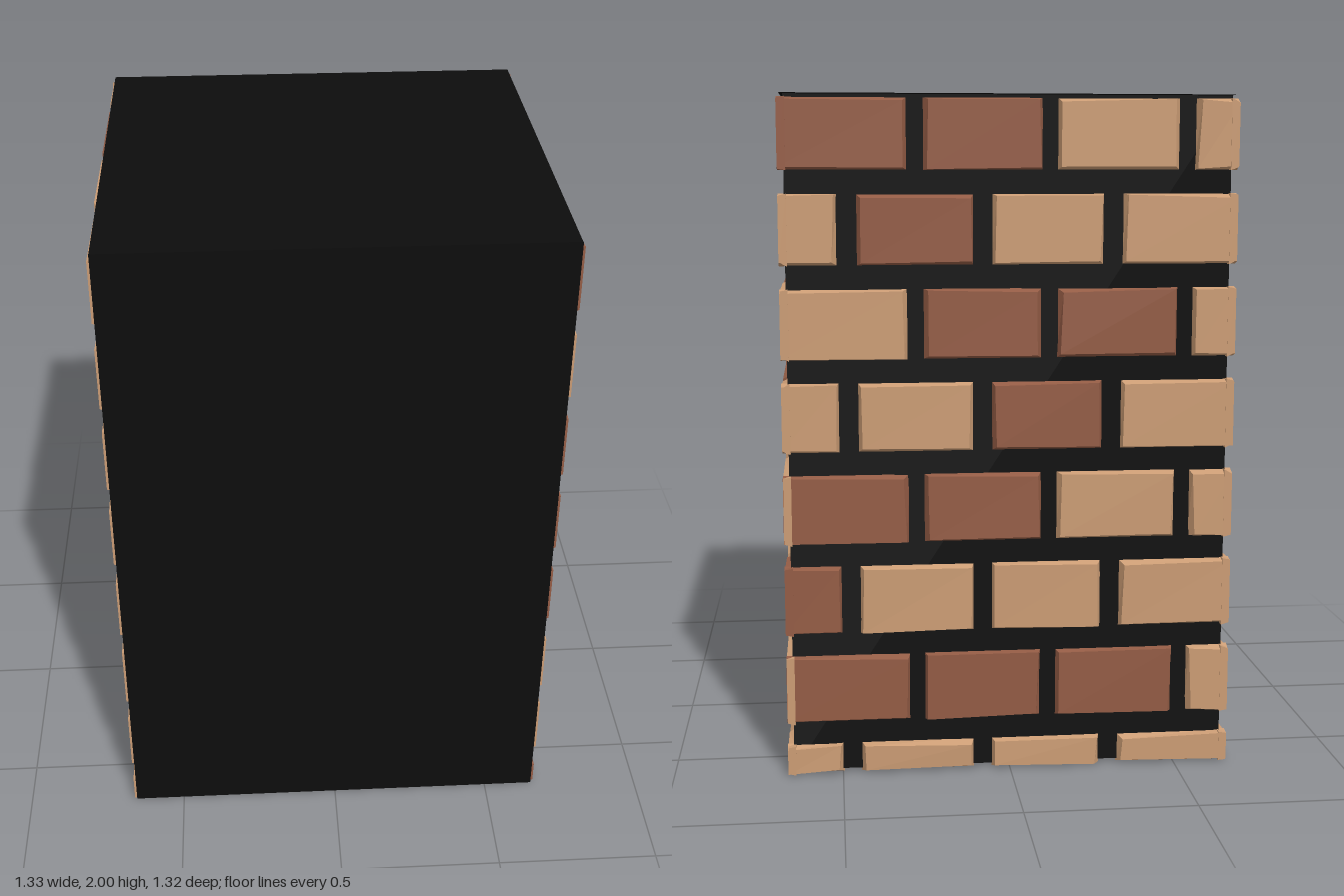
import * as THREE from 'three';

const FACE = 0.662;   // outer face of the bricks
const CORNER = 0.663; // where corner bricks meet
const FRONT = 0.66;   // plain front panel

export function createModel() {
  const model = new THREE.Group();
  model.name = 'brickBlock';
  const mat = (name, color) => {
    const m = new THREE.MeshStandardMaterial({ color, side: THREE.DoubleSide });
    m.name = name;
    return m;
  };
  const mortar = mat('black mortar', 0x0d0d0d);
  const paint = { L: mat('tan brick', 0xcb9c74), D: mat('red-brown brick', 0x945c45) };

  // small seeded generator for chipped, uneven bricks
  let seed = 7;
  const jitter = (amount) => {
    seed = (seed * 16807) % 2147483647;
    return (seed / 2147483647 - 0.5) * 2 * amount;
  };

  // one brick: a box whose outer face is narrowed and made uneven
  function brickGeometry(u0, u1, v0, v1, back) {
    const g = new THREE.BoxGeometry(1, 1, 1).toNonIndexed();
    const p = g.attributes.position;
    const moved = {};
    for (let i = 0; i < p.count; i++) {
      const [x, y, z] = [p.getX(i), p.getY(i), p.getZ(i)];
      const key = `${x},${y},${z}`;
      if (!moved[key]) {
        let u = x < 0 ? u0 : u1;
        let v = y < 0 ? v0 : v1;
        const end = Math.abs(u) > 0.64;
        if (z > 0) {
          if (!end) u += -Math.sign(x) * 0.008 + jitter(0.006);
          v += -Math.sign(y) * 0.008 + jitter(0.006);
        } else if (!end) u += Math.sign(x) * 0.004;
        const depth = z > 0 ? FACE + (end ? 0 : jitter(0.003)) : back;
        moved[key] = [u, Math.max(0, Math.min(1.99, v)), depth];
      }
      p.setXYZ(i, ...moved[key]);
    }
    g.computeVertexNormals();
    return g;
  }

  // a wall: mortar sheet with eight courses, bottom to top, bricks left to right
  function addWall(name, angle, depth, left, right, odd, even, colours) {
    const wall = new THREE.Group();
    wall.name = name;
    wall.rotation.y = angle;
    const sheet = new THREE.Mesh(new THREE.PlaneGeometry(right - left, 1.985), mortar);
    sheet.position.set((left + right) / 2, 1.0025, depth);
    sheet.name = name + 'Mortar';
    wall.add(sheet);
    colours.forEach((row, r) => {
      const top = 0.09 + r * 0.271;
      const spans = r % 2 ? odd : even;
      spans.forEach(([u0, u1], i) => {
        const g = brickGeometry(u0, u1, Math.max(0, top - 0.205), top, depth - 0.006);
        const brick = new THREE.Mesh(g, paint[row[i]]);
        brick.name = 'brick';
        wall.add(brick);
      });
    });
    model.add(wall);
  }

  const F = FRONT - 0.003;
  const C = CORNER;
  addWall('rightHandWall', Math.PI / 2, 0.645, -FRONT, 0.64,
    [[-F, -0.53], [-0.47, -0.14], [-0.08, 0.25], [0.30, C]],
    [[-F, -0.33], [-0.28, 0.05], [0.11, 0.44], [0.50, C]],
    ['DDLL', 'LLDL', 'LLLD', 'DLLL', 'DDDL', 'DLDL', 'LDLL', 'DLLD']);
  addWall('backWall', Math.PI, 0.64, -0.645, 0.645,
    [[-C, -0.30], [-0.25, 0.09], [0.14, 0.49], [0.54, C]],
    [[-C, -0.50], [-0.44, -0.11], [-0.05, 0.27], [0.33, C]],
    ['LLLL', 'DDDL', 'DLLL', 'DDLL', 'LLDL', 'LDDL', 'LDLL', 'DDLL']);
  addWall('leftHandWall', -Math.PI / 2, 0.645, -0.64, FRONT,
    [[-C, -0.46], [-0.40, -0.07], [-0.01, 0.32], [0.38, F]],
    [[-C, -0.26], [-0.21, 0.13], [0.18, 0.52], [0.57, F]],
    ['LLDL', 'LLDL', 'LDLL', 'LLDL', 'LDDL', 'LLDL', 'LDLL', 'LDLL']);

  // plain front panel and roof; the underside stays open
  const front = new THREE.Mesh(new THREE.PlaneGeometry(1.31, 2), mortar);
  front.position.set(0, 1, FRONT);
  front.name = 'frontPanel';
  const roof = new THREE.Mesh(new THREE.PlaneGeometry(1.31, 1.315), mortar);
  roof.rotation.x = -Math.PI / 2;
  roof.position.set(0, 1.997, 0.0025);
  roof.name = 'topPanel';
  model.add(front, roof);
  return model;
}
